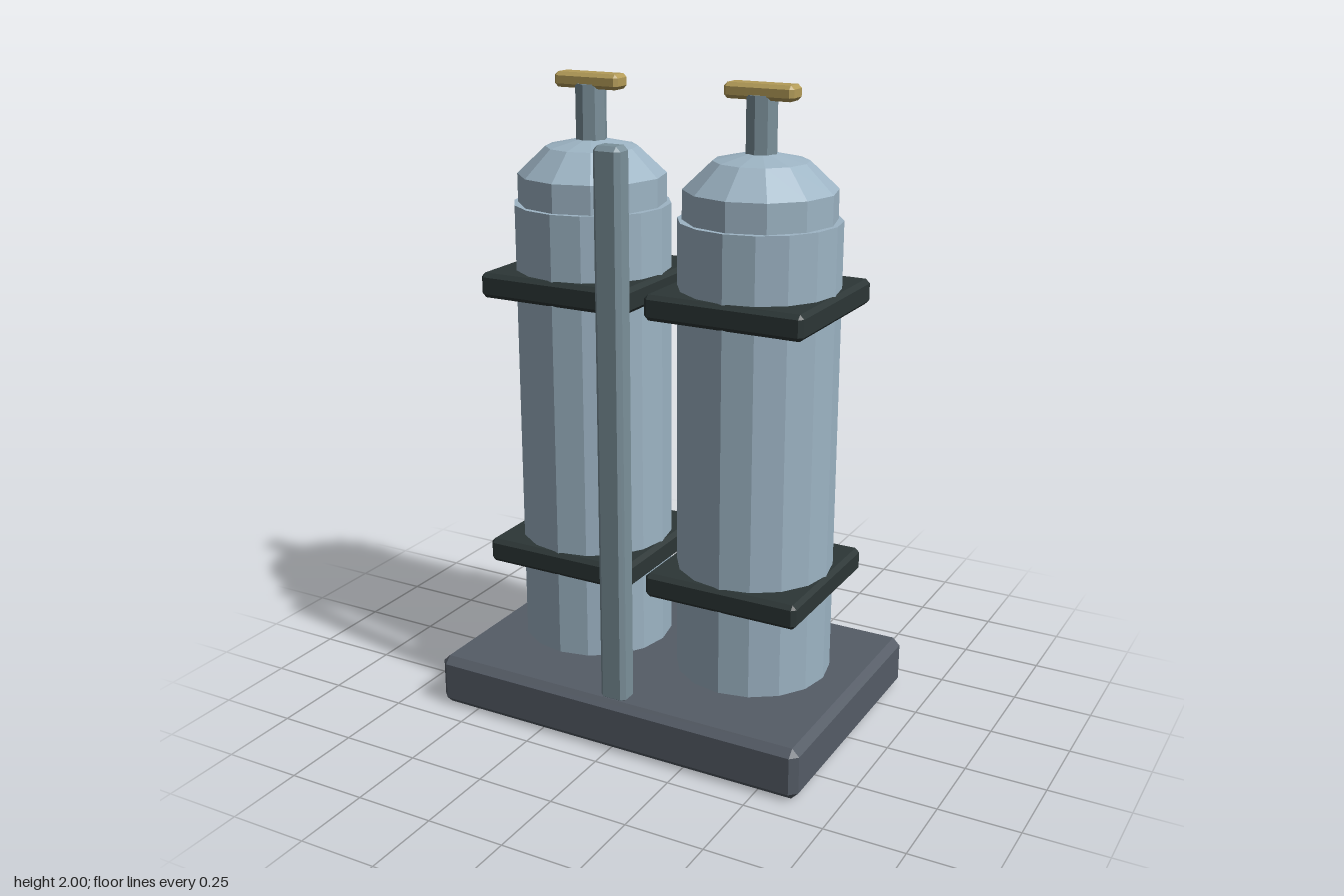
import * as THREE from 'three';
import { ConvexGeometry } from 'three/addons/geometries/ConvexGeometry.js';

const paint = (color) => new THREE.MeshStandardMaterial({ color, flatShading: true });

// Box with a flat chamfer on every edge, centred on the origin
function chamferBox(w, h, d, c) {
  const points = [];
  for (const x of [-w / 2, w / 2])
    for (const y of [-h / 2, h / 2])
      for (const z of [-d / 2, d / 2]) {
        const ix = x - Math.sign(x) * c, iy = y - Math.sign(y) * c, iz = z - Math.sign(z) * c;
        points.push(
          new THREE.Vector3(x, iy, iz),
          new THREE.Vector3(ix, y, iz),
          new THREE.Vector3(ix, iy, z));
      }
  return new ConvexGeometry(points);
}

export function createModel() {
  const model = new THREE.Group();
  model.name = 'gasBottleRack';

  const baseMat = paint(0x555c66);
  const tankMat = paint(0x9db4c4);
  const steelMat = paint(0x7b909a);
  const bandMat = paint(0x2c3636);
  const brassMat = paint(0xb39b58);

  function add(parent, name, geometry, material, x, y, z) {
    const mesh = new THREE.Mesh(geometry, material);
    mesh.name = name;
    mesh.position.set(x, y, z);
    parent.add(mesh);
    return mesh;
  }

  // Base plate and upright post at the front
  add(model, 'base', chamferBox(1.26, 0.165, 0.85, 0.023), baseMat, 0, 0.0825, 0);
  add(model, 'post', chamferBox(0.088, 1.7, 0.07, 0.014), steelMat, 0, 1.003, 0.365);

  // Two bottles, mirrored about the middle
  for (const [side, x] of [['left', 0.285], ['right', -0.285]]) {
    const bottle = new THREE.Group();
    bottle.name = side + 'Bottle';
    bottle.position.x = x;
    model.add(bottle);

    add(bottle, 'tank', new THREE.CylinderGeometry(0.243, 0.243, 1.425, 16), tankMat, 0, 0.8975, 0);

    // Flattened sphere sunk into the top of the tank
    const dome = add(bottle, 'shoulder', new THREE.SphereGeometry(0.24, 12, 5), tankMat, 0, 1.647, 0);
    dome.scale.y = 0.165 / 0.24;

    // Valve stem and its handle
    add(bottle, 'valveStem', new THREE.CylinderGeometry(0.048, 0.048, 0.19, 8), steelMat, 0, 1.873, 0);
    add(bottle, 'valveHandle', chamferBox(0.22, 0.046, 0.073, 0.011), brassMat, 0, 1.977, 0);

    // Square straps
    for (const [name, y] of [['lowerStrap', 0.493], ['upperStrap', 1.37]])
      add(bottle, name, chamferBox(0.506, 0.078, 0.506, 0.013), bandMat, 0, y, 0);
  }

  return model;
}
